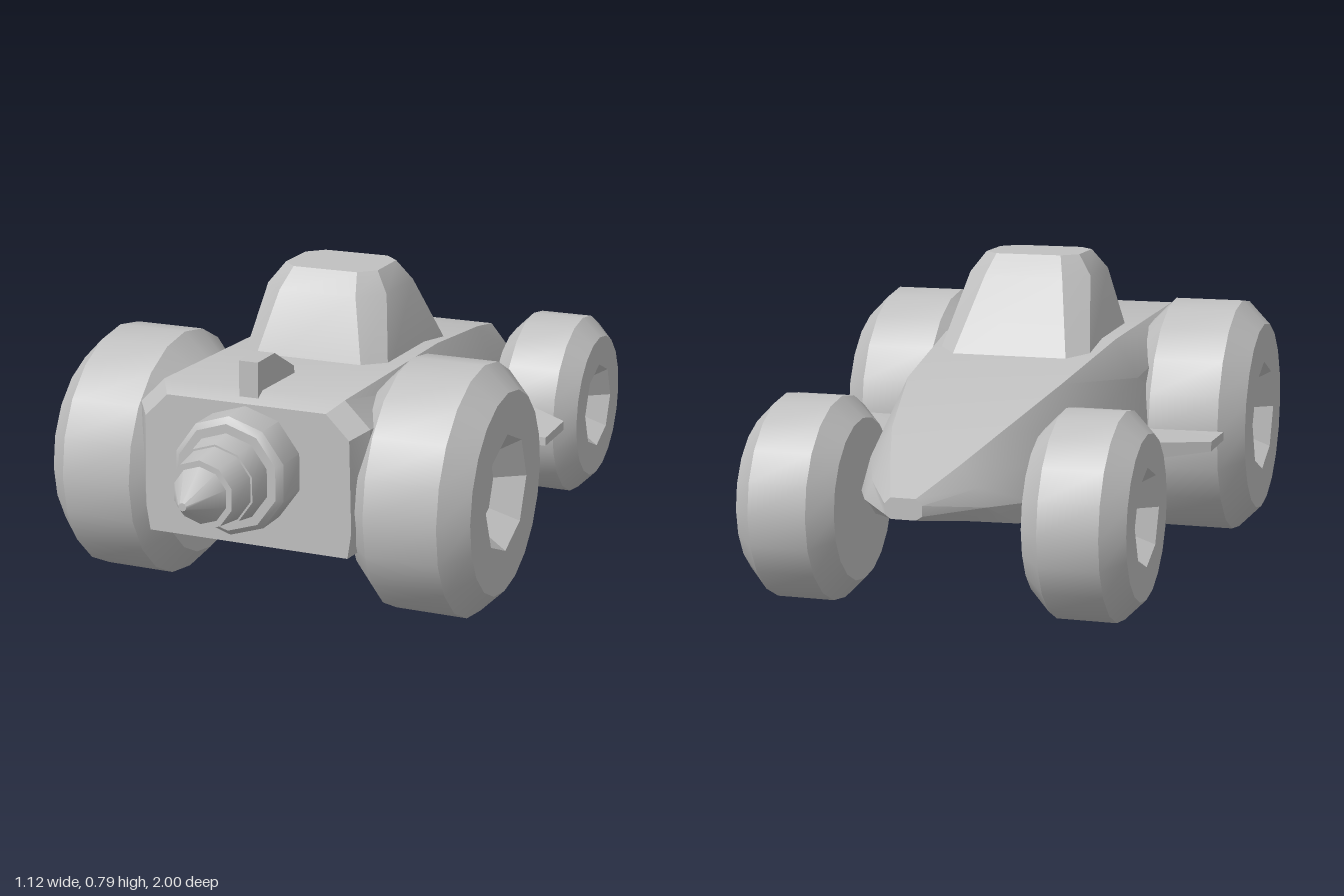
import * as THREE from 'three';
import { toCreasedNormals } from 'three/addons/utils/BufferGeometryUtils.js';

const grey = new THREE.MeshStandardMaterial({ color: 0xc0c0c0 });
grey.name = 'plain grey';

function addMesh(parent, name, geometry, crease = 0.55) {
  const mesh = new THREE.Mesh(toCreasedNormals(geometry, crease), grey);
  mesh.name = name;
  parent.add(mesh);
  return mesh;
}

// Closed solid through rings of points, each ring counter-clockwise seen from the last end
function loft(rings) {
  const n = rings[0].length, index = [];
  for (let i = 0; i < rings.length - 1; i++) {
    for (let j = 0; j < n; j++) {
      const k = (j + 1) % n, a = i * n + j, b = i * n + k;
      index.push(a, b, b + n, a, b + n, a + n);
    }
  }
  const last = (rings.length - 1) * n;
  for (let j = 1; j < n - 1; j++) {
    index.push(0, j + 1, j, last, last + j, last + j + 1);
  }
  const geometry = new THREE.BufferGeometry();
  geometry.setAttribute('position', new THREE.Float32BufferAttribute(rings.flat(2), 3));
  geometry.setIndex(index);
  return geometry.toNonIndexed();
}

const lathe = (points, sides) =>
  new THREE.LatheGeometry(points.map(([r, y]) => new THREE.Vector2(r, y)), sides);

// Wheel along +x: bevelled tyre, flat outer face with an octagonal dished hub
function wheel(name, { radius, width, bevel, rim, hub, depth }) {
  const group = new THREE.Group();
  group.name = name;
  const h = width / 2, face = radius - bevel, sides = 20;
  const tyre = lathe([[0, -h], [face, -h], [radius, -h + bevel], [radius, h - bevel], [face, h]], sides);
  addMesh(group, 'tyre', tyre.rotateZ(-Math.PI / 2));

  const circle = (r, count) => Array.from({ length: count }, (_, i) => {
    const a = i / count * Math.PI * 2;
    return new THREE.Vector2(Math.cos(a) * r, Math.sin(a) * r);
  });
  const shape = new THREE.Shape(circle(face, sides));
  shape.holes.push(new THREE.Path(circle(rim, 8)));
  const side = new THREE.ShapeGeometry(shape).rotateY(Math.PI / 2).translate(h, 0, 0);
  addMesh(group, 'tyreFace', side);

  const dish = lathe([[rim, h], [hub, h - depth], [0, h - depth]], 8);
  addMesh(group, 'hub', dish.rotateZ(-Math.PI / 2), 0.3);
  return group;
}

export function createModel() {
  const model = new THREE.Group();
  model.name = 'racer';

  // Body: z, then half width and height of floor, sill, shoulder and deck
  const sections = [
    [-1, 0.03, 0.295, 0.045, 0.305, 0.045, 0.33, 0.03, 0.345],
    [-0.85, 0.11, 0.265, 0.15, 0.30, 0.13, 0.345, 0.085, 0.395],
    [-0.7, 0.18, 0.23, 0.215, 0.285, 0.19, 0.37, 0.135, 0.445],
    [-0.4, 0.24, 0.205, 0.28, 0.27, 0.25, 0.41, 0.2, 0.515],
    [0, 0.28, 0.205, 0.32, 0.27, 0.295, 0.47, 0.235, 0.57],
    [0.62, 0.27, 0.205, 0.285, 0.27, 0.305, 0.52, 0.24, 0.585],
    [0.665, 0.265, 0.205, 0.275, 0.27, 0.27, 0.5, 0.21, 0.56],
  ];
  addMesh(model, 'body', loft(sections.map(([z, ...p]) => {
    const half = [0, 2, 4, 6].map(i => [p[i], p[i + 1], z]);
    return [...half, ...half.map(([x, y]) => [-x, y, z]).reverse()];
  })));

  // Cockpit: rectangles with cut corners, narrowing upward
  const cockpit = [
    // y, half width, back z, front z, corner
    [0.53, 0.205, -0.2, 0.315, 0.05],
    [0.735, 0.165, -0.06, 0.24, 0.06],
    [0.787, 0.128, -0.015, 0.19, 0.04],
  ];
  addMesh(model, 'cockpit', loft(cockpit.map(([y, w, b, f, c]) => [
    [w - c, y, f], [w, y, f - c], [w, y, b + c], [w - c, y, b],
    [c - w, y, b], [-w, y, b + c], [-w, y, f - c], [c - w, y, f],
  ])), 0.5);

  // Stepped cone at the front
  const cone = lathe([
    [0.14, 0.6], [0.148, 0.64], [0.148, 0.755], [0.133, 0.77], [0.11, 0.77], [0.1, 0.83],
    [0.095, 0.83], [0.085, 0.91], [0.07, 0.91], [0.01, 1], [0, 1],
  ], 10);
  addMesh(model, 'noseCone', cone.rotateX(Math.PI / 2).translate(0, 0.407, 0), 0.65);

  // Small wedge on the deck
  const wedge = new THREE.Shape();
  [[-0.645, 0.55], [-0.43, 0.55], [-0.44, 0.6], [-0.55, 0.66], [-0.645, 0.66]]
    .forEach(([x, y], i) => (i ? wedge.lineTo(x, y) : wedge.moveTo(x, y)));
  const fin = new THREE.ExtrudeGeometry(wedge, { depth: 0.05, bevelEnabled: false });
  addMesh(model, 'deckFin', fin.translate(0, 0, -0.025).rotateY(Math.PI / 2), 0.2);

  // Side fins and wheels, mirrored
  const root = [[0.25, 0.3, -0.36], [0.25, 0.36, -0.36], [0.25, 0.345, -0.05], [0.25, 0.315, -0.05]];
  const tip = [[0.53, 0.32, -0.17], [0.53, 0.345, -0.17], [0.53, 0.342, -0.02], [0.53, 0.32, -0.02]];
  const big = { radius: 0.317, width: 0.31, bevel: 0.062, rim: 0.15, hub: 0.1, depth: 0.07 };
  const small = { radius: 0.252, width: 0.25, bevel: 0.052, rim: 0.12, hub: 0.08, depth: 0.055 };
  for (const [side, s] of [['left', 1], ['right', -1]]) {
    const rings = [root, tip].map(ring => {
      const points = ring.map(([x, y, z]) => [s * x, y, z]);
      return s > 0 ? points : points.reverse();
    });
    addMesh(model, side + 'SideFin', loft(rings), 0.2);

    for (const [end, spec, x, z] of [['Front', big, 0.405, 0.368], ['Back', small, 0.355, -0.645]]) {
      const w = wheel(side + end + 'Wheel', spec);
      w.position.set(s * x, spec.radius, z);
      if (s < 0) w.rotation.y = Math.PI;
      model.add(w);
    }
  }
  return model;
}
